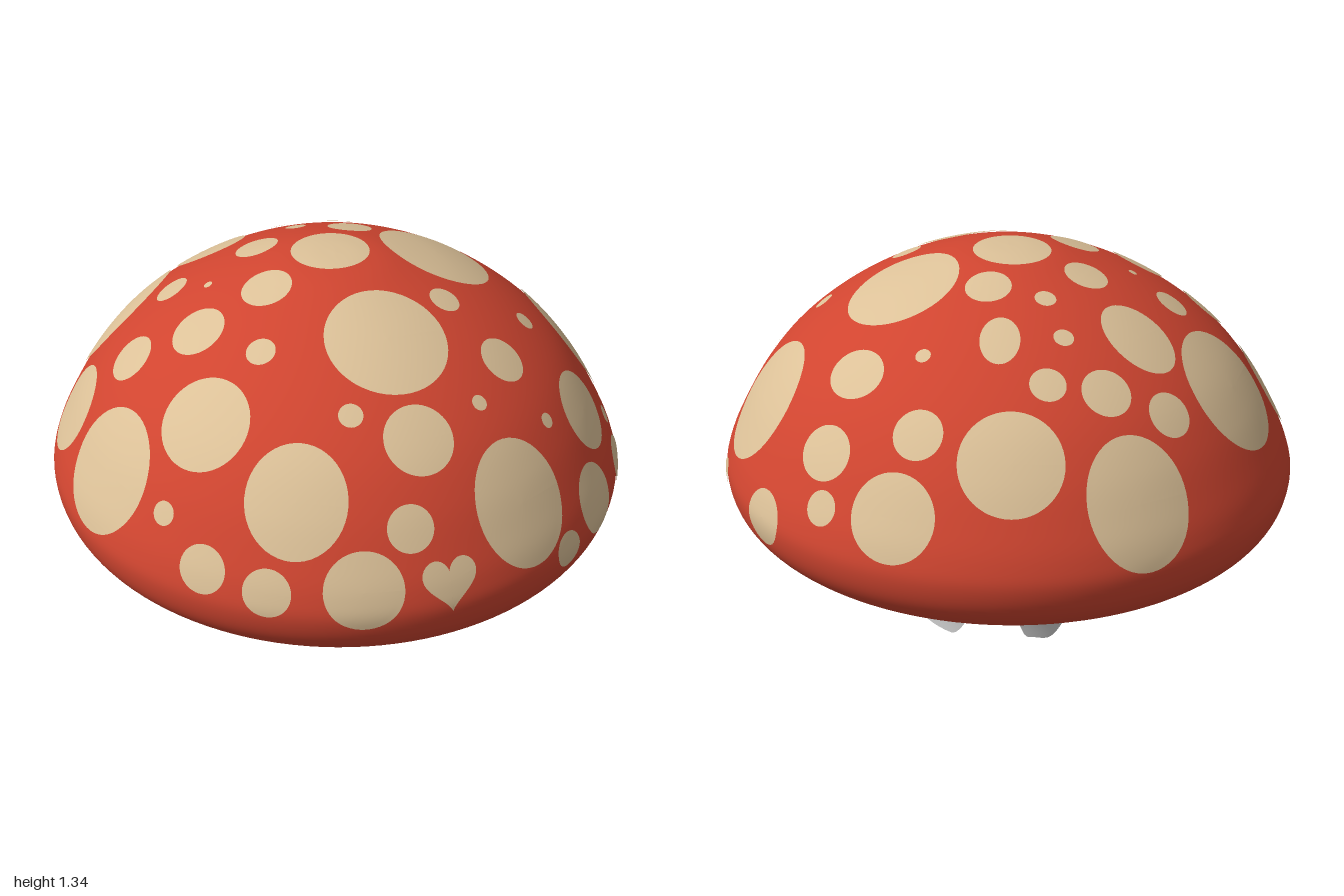
import * as THREE from 'three';

const SQUASH = 0.98; // the cap is slightly narrower in x than in z
const MID = 0.4; // height of the point the cap surface is measured from
const LIFT = 1.005; // raises spots just off the cap
const UP = new THREE.Vector3(0, 1, 0);

// Cap outline, (radius, height), from underside centre to crown
const capOutline = new THREE.SplineCurve([
  [0, 0.293], [0.5, 0.298], [0.7, 0.324], [0.83, 0.362], [0.925, 0.42], [0.98, 0.49],
  [1, 0.575], [0.985, 0.65], [0.945, 0.74], [0.865, 0.88], [0.755, 1.015],
  [0.6, 1.14], [0.42, 1.24], [0.22, 1.313], [0.1, 1.336], [0, 1.341],
].map(([r, y]) => new THREE.Vector2(r, y))).getPoints(96);

// Linear lookup in a list of [key, value] sorted by key
function lookup(list, k) {
  const i = list.findIndex(entry => entry[0] >= k);
  if (i < 1) return list.at(i)[1];
  const [a, va] = list[i - 1], [b, vb] = list[i];
  return THREE.MathUtils.mapLinear(k, a, b, va, vb);
}
const polar = p => Math.atan2(p.x, p.y - MID);
const side = capOutline.filter(p => p.y > 0.32);
const crown = side.filter(p => p.y > 0.58).reverse();
const polarByHeight = side.map(p => [p.y, polar(p)]);
const polarByRadius = crown.map(p => [p.x, polar(p)]);
const reachByPolar = side.map(p => [polar(p), Math.hypot(p.x, p.y - MID)]).reverse();

// Point of the cap surface lying in a direction from its middle
function onCap(direction) {
  const reach = lookup(reachByPolar, direction.angleTo(UP));
  return direction.clone().setLength(reach * LIFT).addScaledVector(UP, MID);
}
const capPoint = (phi, azimuth) => onCap(new THREE.Vector3().setFromSphericalCoords(1, phi, azimuth));

const circle = a => [Math.cos(a), Math.sin(a)];
const heart = a => [
  Math.cos(a) ** 3,
  (13 * Math.sin(a) + 5 * Math.cos(2 * a) + 2 * Math.sin(3 * a) - Math.cos(4 * a)) / 15,
];

// Disc of a given outline laid tangent to the cap, then wrapped onto it
function spotGeometry(phi, azimuth, radius, stretch = 1, outline = circle) {
  const centre = capPoint(phi, azimuth);
  const east = new THREE.Vector3(Math.cos(azimuth), 0, -Math.sin(azimuth));
  const north = capPoint(phi - 0.02, azimuth).sub(capPoint(phi + 0.02, azimuth)).normalize();
  const geo = new THREE.RingGeometry(0, 1, 48, 8);
  const pos = geo.attributes.position;
  for (let i = 0; i < pos.count; i++) {
    const x = pos.getX(i), y = pos.getY(i);
    const r = Math.hypot(x, y) * radius;
    const [u, v] = outline(Math.atan2(y, x));
    const p = centre.clone().addScaledVector(east, u * r).addScaledVector(north, v * r * stretch);
    const q = onCap(p.addScaledVector(UP, -MID));
    pos.setXYZ(i, q.x, q.y, q.z);
  }
  geo.computeVertexNormals();
  return geo;
}

// Upper spots: x, z, radius, optional stretch toward the crown
const crownSpots = [
  [-0.51, -0.615, 0.23], [-0.18, -0.76, 0.078], [0.01, -0.69, 0.084], [-0.2, -0.53, 0.12, 1.25],
  [0.18, -0.62, 0.06], [0.37, -0.74, 0.172], [0.06, -0.5, 0.034], [0.25, -0.43, 0.066, 1.45],
  [0.58, -0.52, 0.084], [0.04, -0.34, 0.036], [0.47, -0.33, 0.026], [-0.445, -0.33, 0.062],
  [-0.16, -0.25, 0.077], [0.18, -0.21, 0.078], [-0.38, -0.18, 0.016], [-0.68, -0.16, 0.088],
  [0.645, -0.2, 0.108, 0.85], [0.8, -0.3, 0.1, 0.92], [0, -0.03, 0.135], [-0.51, 0, 0.098],
  [-0.27, 0.025, 0.088], [0.38, 0.03, 0.207], [-0.645, 0.3, 0.16], [-0.41, 0.245, 0.05],
  [0.23, 0.317, 0.054], [0.525, 0.36, 0.036], [-0.515, 0.655, 0.167, 1.12], [-0.05, 0.42, 0.209],
  [0.31, 0.545, 0.084], [0.6, 0.615, 0.142], [-0.275, 0.577, 0.04], [-0.11, 0.714, 0.117],
  [0.14, 0.67, 0.027], [0.38, 0.71, 0.026],
];

// Lower spots: degrees from the front toward +x, height, radius, optional stretch
const rimSpots = [
  [179, 0.79, 0.18, 1.23], [129.5, 0.755, 0.145], [113.6, 0.727, 0.058], [98, 0.61, 0.095],
  [78, 0.88, 0.217, 1.05], [57, 0.743, 0.032], [74, 0.588, 0.049], [-86, 0.81, 0.202, 1.08],
  [-112, 0.81, 0.158], [-67, 0.8, 0.04], [-56, 0.688, 0.081], [-15, 0.84, 0.077],
  [11, 0.814, 0.18, 1.2], [-25, 0.677, 0.131], [-43, 0.66, 0.08], [20, 0.604, 0.062],
  [33, 0.667, 0.114, 1.08], [52, 0.61, 0.092],
];

// Ragged lower edge of the stem: degrees from the front toward +x, height
const hem = [
  [-160, 0.13], [-145, 0.05], [-130, 0.03], [-115, 0.08], [-101, 0.005], [-93, 0.02],
  [-82, 0.15], [-70, 0.035], [-35, 0.055], [-8, 0.035], [-1, 0.06], [7, 0.16], [16, 0.05],
  [27, 0.025], [36, 0.04], [44, 0.12], [71, 0.15], [85, 0.04], [95, 0.01], [118, 0.005],
  [141, 0.16], [155, 0.12], [164, 0.02], [176, 0.005], [200, 0.13],
];
function hemHeight(degrees) {
  const d = degrees < -160 ? degrees + 360 : degrees;
  const i = Math.max(1, hem.findIndex(key => key[0] >= d));
  const [a, ya] = hem[i - 1], [b, yb] = hem[i];
  return THREE.MathUtils.lerp(ya, yb, THREE.MathUtils.smoothstep(d, a, b));
}

// Thin hollow stem flaring out under the cap
function stemGeometry() {
  const geo = new THREE.CylinderGeometry(1, 1, 1, 180, 16, true);
  const pos = geo.attributes.position;
  for (let i = 0; i < pos.count; i++) {
    const a = Math.atan2(pos.getX(i), pos.getZ(i));
    const y = THREE.MathUtils.lerp(hemHeight(THREE.MathUtils.radToDeg(a)), 0.3, pos.getY(i) + 0.5);
    const r = 0.35 + 0.115 * (y / 0.3) ** 2.7;
    pos.setXYZ(i, Math.sin(a) * r, y, Math.cos(a) * r);
  }
  geo.computeVertexNormals();
  return geo;
}

function addMesh(parent, name, geometry, material) {
  const mesh = new THREE.Mesh(geometry, material);
  mesh.name = name;
  parent.add(mesh);
}

export function createModel() {
  const red = new THREE.MeshStandardMaterial({ name: 'cap red', color: 0xd04530 });
  const cream = new THREE.MeshStandardMaterial({ name: 'spot cream', color: 0xdcc198 });
  const white = new THREE.MeshStandardMaterial({ name: 'stem white', color: 0xd0d0d0, side: THREE.DoubleSide });

  const model = new THREE.Group();
  model.name = 'mushroom';
  addMesh(model, 'stem', stemGeometry(), white);

  // Cap with its spots
  const cap = new THREE.Group();
  cap.name = 'spottedCap';
  cap.scale.x = SQUASH;
  model.add(cap);
  addMesh(cap, 'cap', new THREE.LatheGeometry(capOutline, 120), red);
  for (const [x, z, radius, stretch] of crownSpots) {
    const phi = lookup(polarByRadius, Math.hypot(x / SQUASH, z));
    addMesh(cap, 'crownSpot', spotGeometry(phi, Math.atan2(x / SQUASH, z), radius, stretch), cream);
  }
  for (const [degrees, y, radius, stretch] of rimSpots) {
    const azimuth = THREE.MathUtils.degToRad(degrees);
    addMesh(cap, 'rimSpot', spotGeometry(lookup(polarByHeight, y), azimuth, radius, stretch), cream);
  }
  const heartAzimuth = THREE.MathUtils.degToRad(-8.5);
  addMesh(cap, 'heartSpot', spotGeometry(lookup(polarByHeight, 0.675), heartAzimuth, 0.093, 1, heart), cream);
  return model;
}
